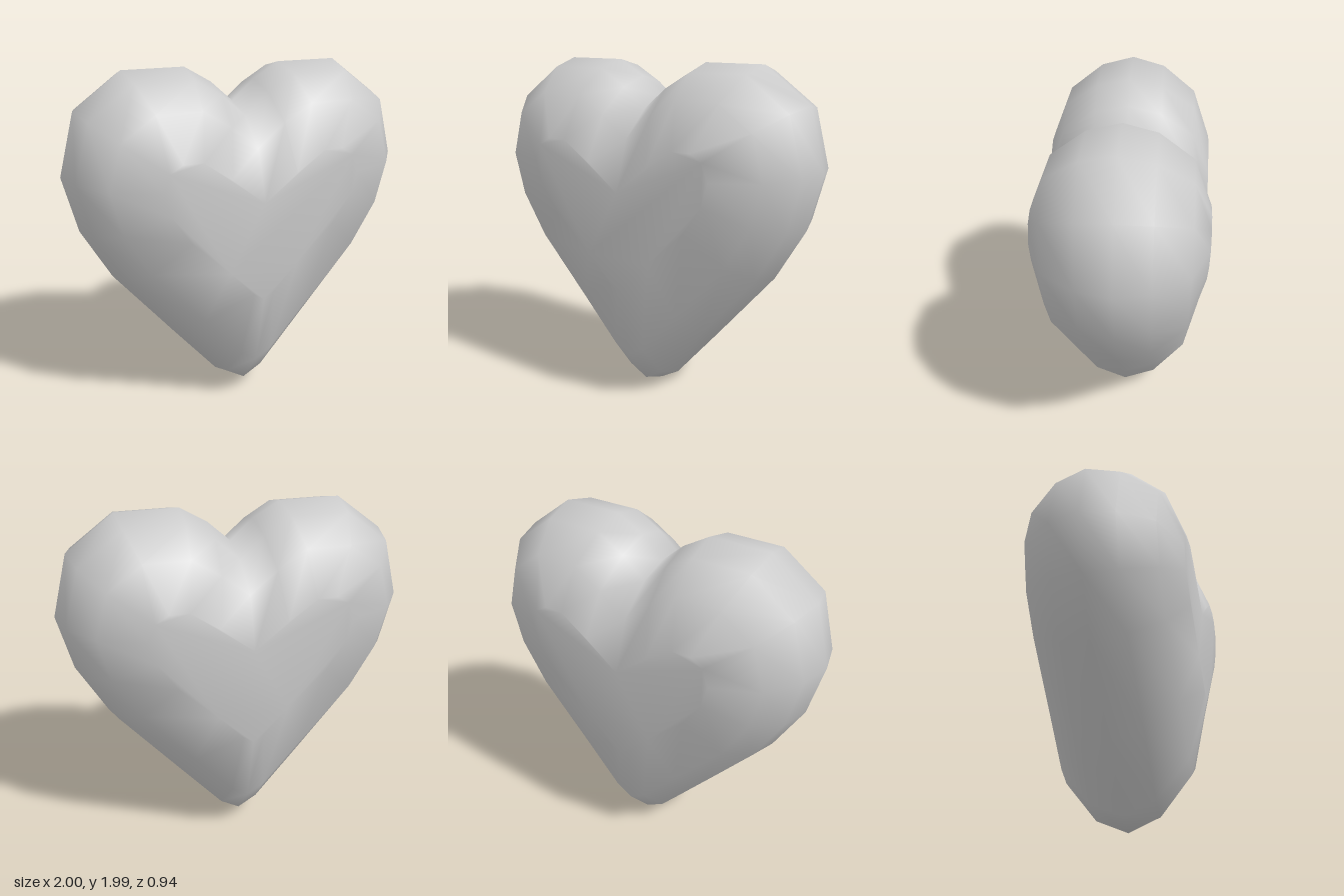
import * as THREE from 'three';

// Right half of the heart, bottom tip to top notch: [rim x, rim y, face x, face y]
const HALF = [
  [0, 0, 0, 0.74],
  [0.12, 0.07, 0.06, 0.78],
  [0.4, 0.4, 0.2, 0.93],
  [0.75, 0.82, 0.42, 1.14],
  [0.92, 1.12, 0.53, 1.3],
  [1, 1.44, 0.565, 1.43],
  [0.91, 1.79, 0.53, 1.53],
  [0.64, 1.99, 0.46, 1.57],
  [0.285, 1.99, 0.35, 1.57],
  [0.13, 1.9, 0.19, 1.46],
  [0, 1.785, 0, 1.31],
];

// Rounded edge: [z, blend from rim (0) to face (1)]
const RINGS = [
  [-0.468, 1], [-0.37, 0.415], [-0.185, 0.105], [0, 0],
  [0.185, 0.105], [0.37, 0.415], [0.468, 1],
];

function heartGeometry() {
  // Mirror the half into a closed counter-clockwise loop
  const mirrored = HALF.slice(1, -1).reverse().map(([x, y, fx, fy]) => [-x, y, -fx, fy]);
  const loop = [...HALF, ...mirrored];
  const n = loop.length;
  const positions = [];
  const index = [];

  for (const [z, t] of RINGS) {
    for (const [x, y, fx, fy] of loop) {
      positions.push(THREE.MathUtils.lerp(x, fx, t), THREE.MathUtils.lerp(y, fy, t), z);
    }
  }

  // Skin between neighbouring rings
  for (let k = 0; k < RINGS.length - 1; k++) {
    for (let i = 0; i < n; i++) {
      const j = (i + 1) % n;
      const a = k * n + i, b = k * n + j, c = b + n, d = a + n;
      index.push(a, b, c, a, c, d);
    }
  }

  // Flat front and back faces
  const face = loop.map(([, , fx, fy]) => new THREE.Vector2(fx, fy));
  const front = (RINGS.length - 1) * n;
  for (const [a, b, c] of THREE.ShapeUtils.triangulateShape(face, [])) {
    index.push(front + a, front + b, front + c, c, b, a);
  }

  const geometry = new THREE.BufferGeometry();
  geometry.setAttribute('position', new THREE.Float32BufferAttribute(positions, 3));
  geometry.setIndex(index);
  geometry.computeVertexNormals();
  return geometry;
}

export function createModel() {
  const group = new THREE.Group();
  group.name = 'heart';
  const body = new THREE.Mesh(heartGeometry(), new THREE.MeshStandardMaterial({ color: 0xcccccc }));
  body.name = 'heartBody';
  group.add(body);
  return group;
}
